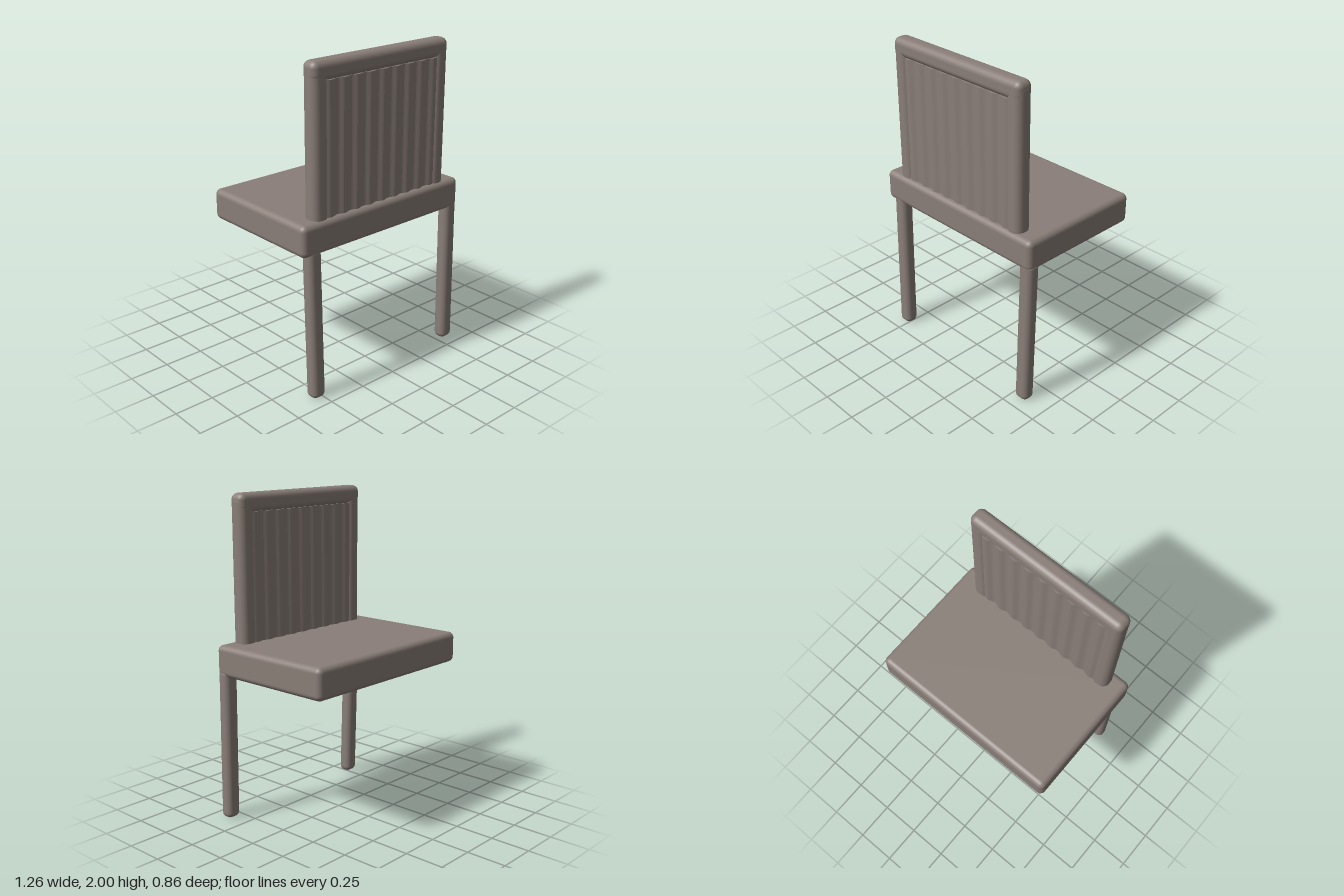
import * as THREE from 'three';
import { RoundedBoxGeometry } from 'three/addons/geometries/RoundedBoxGeometry.js';

const wood = new THREE.MeshStandardMaterial({ color: 0x8a7e78 });
wood.name = 'warm grey';

// Rounded block given by its minimum and maximum corners
function block(name, min, max, radius) {
  const size = max.map((v, i) => v - min[i]);
  const geometry = new RoundedBoxGeometry(...size, 4, radius);
  geometry.translate(...min.map((v, i) => (v + max[i]) / 2));
  const mesh = new THREE.Mesh(geometry, wood);
  mesh.name = name;
  return mesh;
}

// Slender leg, its centre line running from foot to top
function leg(name, foot, top) {
  const height = 0.96;
  const geometry = new RoundedBoxGeometry(0.096, height, 0.086, 4, 0.034);
  geometry.translate(0, height / 2, 0);
  const p = geometry.attributes.position;
  for (let i = 0; i < p.count; i++) {
    const t = p.getY(i) / height;
    p.setX(i, p.getX(i) + foot[0] + (top[0] - foot[0]) * t);
    p.setZ(i, p.getZ(i) + foot[1] + (top[1] - foot[1]) * t);
  }
  const mesh = new THREE.Mesh(geometry, wood);
  mesh.name = name;
  return mesh;
}

// Infill of the backrest, with upright ribs on both faces
function ribbedPanel() {
  const half = 0.46, steps = 110, middle = 0.341;
  const rib = (x) => 0.046 + 0.006 * Math.cos(x * Math.PI * 2 / 0.1);
  const points = [];
  for (let i = 0; i <= steps; i++) {
    const x = -half + 2 * half * i / steps;
    points.push(new THREE.Vector2(x, -middle - rib(x)));
  }
  for (let i = steps; i >= 0; i--) {
    const x = -half + 2 * half * i / steps;
    points.push(new THREE.Vector2(x, -middle + rib(x)));
  }
  const geometry = new THREE.ExtrudeGeometry(new THREE.Shape(points), { depth: 0.8, bevelEnabled: false });
  geometry.rotateX(-Math.PI / 2);
  geometry.translate(0, 1.09, 0);
  const mesh = new THREE.Mesh(geometry, wood);
  mesh.name = 'ribbedPanel';
  return mesh;
}

export function createModel() {
  const chair = new THREE.Group();
  chair.name = 'chair';

  chair.add(block('seat', [-0.63, 0.915, -0.43], [0.628, 1.108, 0.418], 0.035));

  // Backrest frame around the ribbed infill
  const back = new THREE.Group();
  back.name = 'backrest';
  back.add(
    block('rightPost', [-0.527, 1.06, 0.287], [-0.415, 1.99, 0.397], 0.045),
    block('leftPost', [0.405, 1.06, 0.287], [0.517, 1.99, 0.397], 0.045),
    block('topRail', [-0.527, 1.885, 0.287], [0.515, 2.0, 0.397], 0.04),
    ribbedPanel()
  );
  chair.add(back);

  // The only two legs stand under the backrest
  chair.add(
    leg('rightLeg', [-0.527, 0.391], [-0.534, 0.371]),
    leg('leftLeg', [0.573, 0.391], [0.582, 0.371])
  );
  return chair;
}
